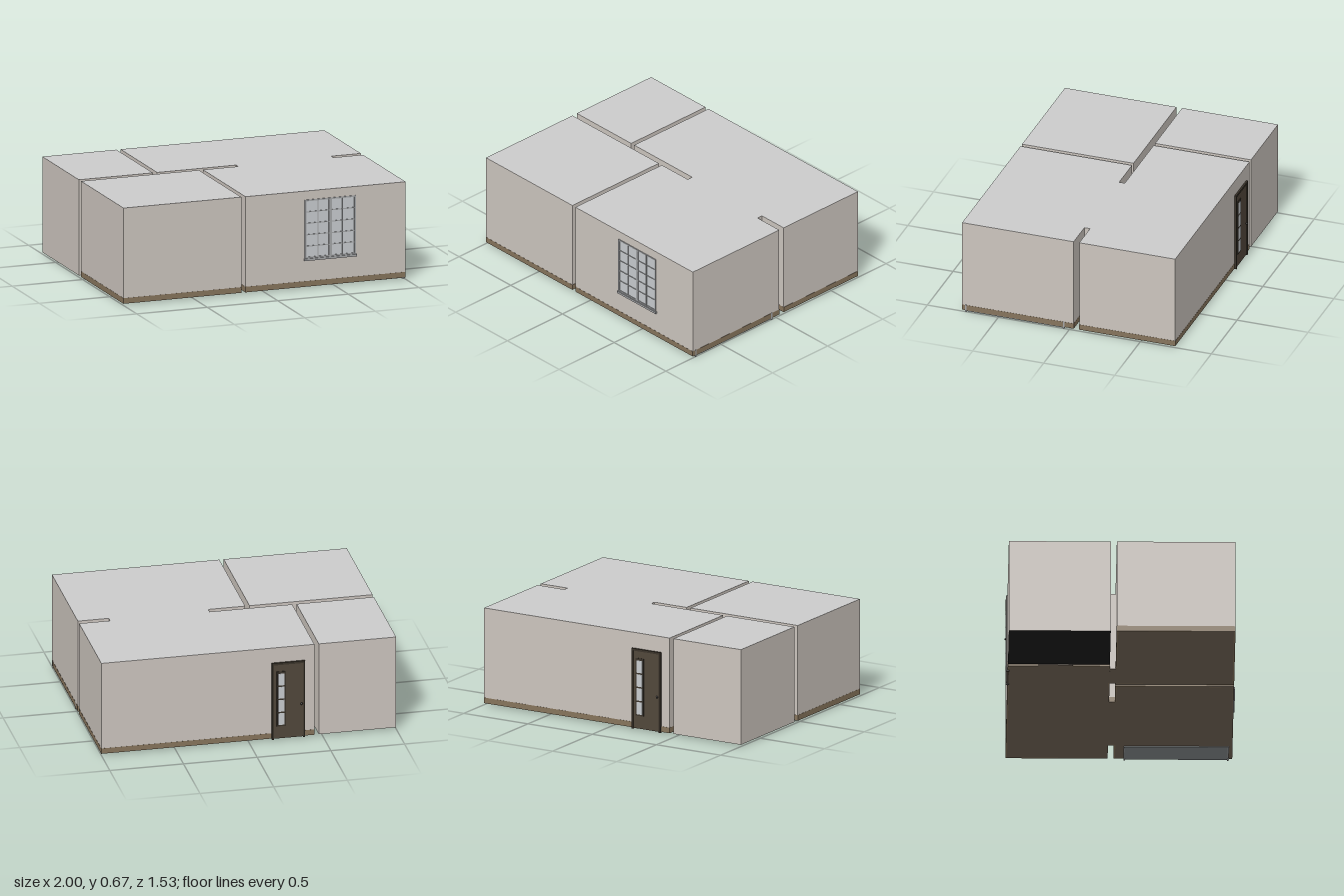
import * as THREE from 'three';

const FLOOR = 0.012, SKIRT = 0.05, TOP = 0.665, DOOR = 0.555;
const mat = (color, side = THREE.FrontSide) => new THREE.MeshStandardMaterial({ color, side });
const M = {
  wall: mat(0xccc5be, THREE.DoubleSide), ceiling: mat(0xcccccc, THREE.DoubleSide),
  floor: mat(0x76695a, THREE.DoubleSide), dark: mat(0x1c1c1c, THREE.DoubleSide),
  skirt: mat(0x86745c), frame: mat(0xa4a6a8), glass: mat(0xc8cccf),
  door: mat(0x51473b), doorFrame: mat(0x3a332a), metal: mat(0x2a2724), slate: mat(0x868c8e),
};

// Box given by its limits on each axis
function box(parent, name, m, x0, x1, y0, y1, z0, z1) {
  const mesh = new THREE.Mesh(new THREE.BoxGeometry(x1 - x0, y1 - y0, z1 - z0), m);
  mesh.position.set((x0 + x1) / 2, (y0 + y1) / 2, (z0 + z1) / 2);
  mesh.name = name;
  parent.add(mesh);
  return mesh;
}

// Flat wall piece in a wall's own frame (x along the wall, z outward)
function panel(parent, x0, x1, y0, y1) {
  if (x1 - x0 < 1e-4 || y1 - y0 < 1e-4) return;
  const mesh = new THREE.Mesh(new THREE.PlaneGeometry(x1 - x0, y1 - y0), M.wall);
  mesh.position.set((x0 + x1) / 2, (y0 + y1) / 2, 0);
  mesh.name = 'wallPanel';
  parent.add(mesh);
}

// Wall from p to q with an optional opening [start, end, bottom, top]
function wall(p, q, opening, skirted) {
  const g = new THREE.Group();
  g.name = 'wall';
  const dx = q[0] - p[0], dz = q[1] - p[1], len = Math.hypot(dx, dz);
  g.position.set(p[0], 0, p[1]);
  g.rotation.y = Math.atan2(-dz, dx);
  const base = skirted ? SKIRT : FLOOR;
  const skirt = (a, b) => skirted && box(g, 'skirting', M.skirt, a, b, FLOOR, SKIRT, -0.01, 0.001);
  if (!opening) {
    panel(g, 0, len, base, TOP);
    skirt(0, len);
    return g;
  }
  const [a, b, y0, y1] = opening;
  panel(g, 0, a, base, TOP);
  panel(g, b, len, base, TOP);
  panel(g, a, b, y1, TOP);
  panel(g, a, b, base, y0);
  if (y0 > SKIRT) skirt(0, len);
  else { skirt(0, a); skirt(b, len); }
  return g;
}

// Closed room over a plan outline of [x, z] corners
function room(name, outline, openings, floorMat, skirted) {
  const g = new THREE.Group();
  g.name = name;
  outline.forEach((p, i) => g.add(wall(p, outline[(i + 1) % outline.length], openings[i], skirted)));
  const plan = new THREE.Shape(outline.map(([x, z]) => new THREE.Vector2(x, -z)));
  for (const [part, y, m] of [['floor', FLOOR, floorMat], ['ceiling', TOP, M.ceiling]]) {
    const mesh = new THREE.Mesh(new THREE.ShapeGeometry(plan).rotateX(-Math.PI / 2), m);
    mesh.position.y = y;
    mesh.name = part;
    g.add(mesh);
  }
  return g;
}

// Lined doorway between two rooms, running along z across the gap
function passage(width, depth) {
  const g = new THREE.Group(), w = width / 2, d = depth / 2, t = 0.004;
  g.name = 'passage';
  for (const s of [-1, 1]) box(g, 'jamb', M.wall, s * w - t / 2, s * w + t / 2, FLOOR, DOOR, -d, d);
  box(g, 'lintel', M.wall, -w, w, DOOR - t, DOOR, -d, d);
  box(g, 'threshold', M.floor, -w, w, FLOOR - t, FLOOR, -d, d);
  return g;
}

function windowUnit() {
  const g = new THREE.Group();
  g.name = 'window';
  const x0 = 0.285, x1 = 0.645, y0 = 0.205, y1 = 0.605;
  box(g, 'glass', M.glass, x0, x1, y0, y1, 0.75, 0.756);
  // upright bars, thick at the sides and centre
  for (let i = 0; i <= 4; i++) {
    const x = x0 + 0.005 + (x1 - x0 - 0.01) * i / 4, h = i === 2 ? 0.01 : i % 2 ? 0.003 : 0.005;
    box(g, 'uprightBar', M.frame, x - h, x + h, y0, y1, 0.748, 0.761);
  }
  for (let i = 0; i <= 5; i++) {
    const y = y0 + 0.005 + (y1 - y0 - 0.01) * i / 5, h = i % 5 ? 0.003 : 0.005;
    box(g, 'crossBar', M.frame, x0, x1, y - h, y + h, 0.749, 0.76);
  }
  box(g, 'sill', M.frame, 0.28, 0.652, 0.19, 0.205, 0.745, 0.767);
  return g;
}

function entryDoor() {
  const g = new THREE.Group();
  g.name = 'entryDoor';
  const x0 = -0.38, x1 = -0.155, t = 0.012;
  box(g, 'doorLeaf', M.door, x0 + t, x1 - t, 0.012, DOOR - t, -0.753, -0.738);
  for (const x of [x0, x1 - t]) box(g, 'doorJamb', M.doorFrame, x, x + t, 0.006, DOOR, -0.758, -0.735);
  box(g, 'doorHead', M.doorFrame, x0, x1, DOOR - t, DOOR + 0.003, -0.758, -0.735);
  // narrow column of four panes
  box(g, 'paneSurround', M.doorFrame, -0.25, -0.187, 0.1, 0.495, -0.757, -0.736);
  for (let i = 0; i < 4; i++) {
    const y = 0.11 + i * 0.095;
    box(g, 'doorPane', M.glass, -0.24, -0.197, y, y + 0.085, -0.758, -0.735);
  }
  // handles on both faces
  for (const z of [-0.759, -0.732]) {
    const knob = new THREE.Mesh(new THREE.SphereGeometry(0.008, 16, 10), M.metal);
    knob.position.set(-0.355, 0.25, z);
    knob.name = 'doorKnob';
    g.add(knob);
  }
  return g;
}

// Shallow closet against the side wall, its base just below the floor
function closet() {
  const g = new THREE.Group();
  g.name = 'closet';
  box(g, 'closetBase', M.slate, 0.8, 0.998, 0.005, 0.016, 0.04, 0.73);
  for (const z of [0.04, 0.728]) {
    box(g, 'closetSide', M.frame, 0.8, 0.998, 0.005, 0.55, z - 0.004, z + 0.004);
    box(g, 'closetFoot', M.frame, 0.985, 1.002, 0, 0.053, z - 0.005, z + 0.005);
  }
  box(g, 'closetTop', M.frame, 0.8, 0.998, 0.545, 0.553, 0.04, 0.73);
  return g;
}

export function createModel() {
  const g = new THREE.Group();
  g.name = 'apartment';
  // two wide rooms joined through an open gap
  g.add(room('livingArea', [
    [-0.135, 0.755], [1, 0.755], [1, -0.03], [0.79, -0.03], [0.79, -0.07], [1, -0.07],
    [1, -0.745], [-0.445, -0.745], [-0.445, -0.07], [0.115, -0.07], [0.115, -0.03], [-0.135, -0.03],
  ], {
    0: [0.42, 0.78, 0.205, 0.605], 6: [1.155, 1.38, FLOOR, DOOR],
    7: [0.205, 0.43, FLOOR, DOOR], 8: [0.035, 0.26, FLOOR, DOOR],
  }, M.floor, true));
  g.add(room('bedroom', [[-1, 0.755], [-0.165, 0.755], [-0.165, -0.03], [-1, -0.03]],
    { 2: [0.02, 0.245, FLOOR, DOOR] }, M.floor, true));
  g.add(room('bathroom', [[-1, -0.07], [-0.475, -0.07], [-0.475, -0.745], [-1, -0.745]],
    { 1: [0.245, 0.47, FLOOR, DOOR] }, M.dark, false));

  const bedroomPassage = passage(0.225, 0.04);
  bedroomPassage.position.set(-0.2975, 0, -0.05);
  const bathPassage = passage(0.225, 0.03);
  bathPassage.rotation.y = Math.PI / 2;
  bathPassage.position.set(-0.46, 0, -0.4275);
  g.add(bedroomPassage, bathPassage, windowUnit(), entryDoor(), closet());
  return g;
}
